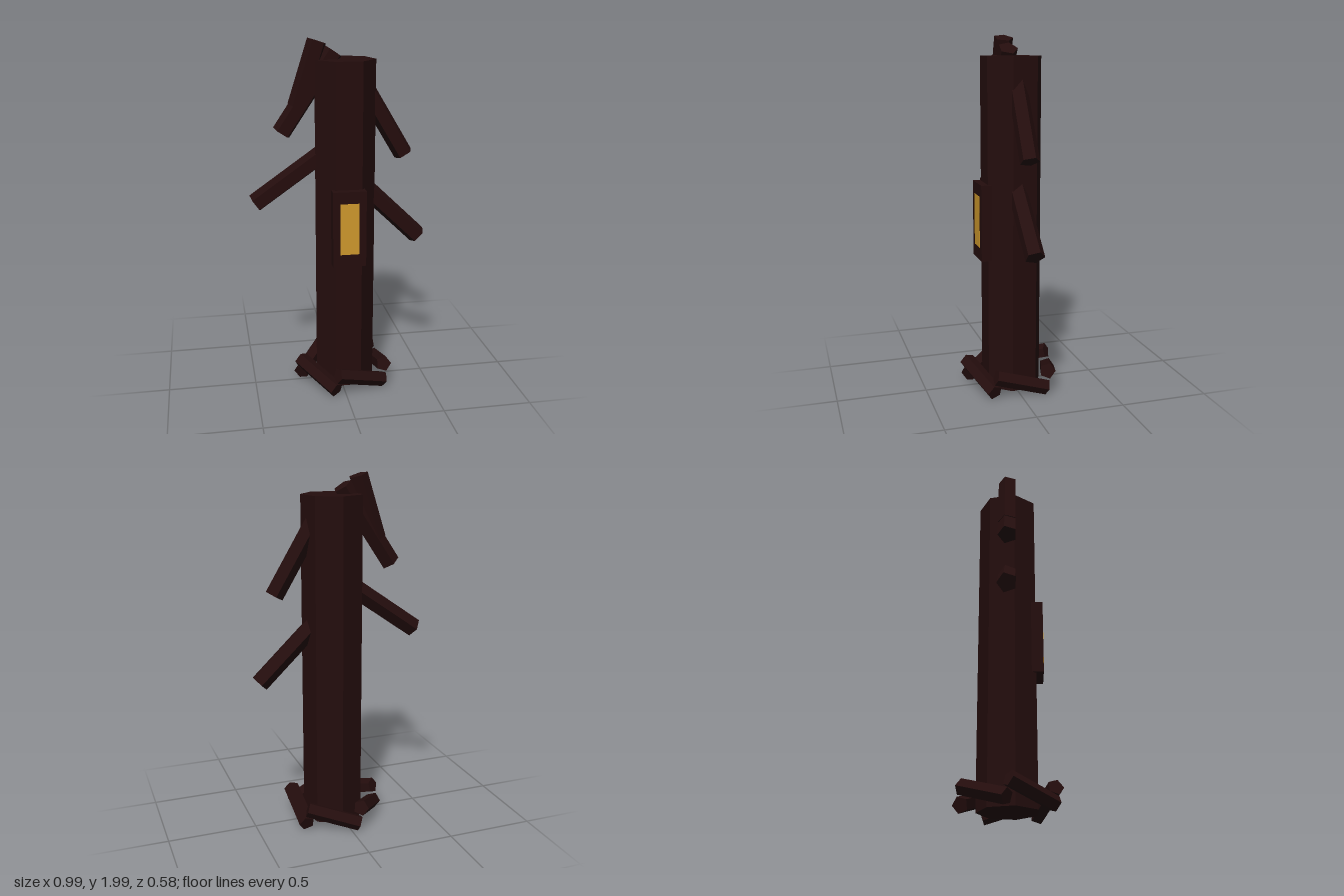
import * as THREE from 'three';

export function createModel() {
  const model = new THREE.Group();
  model.name = 'deadTree';

  const bark = new THREE.MeshStandardMaterial({ color: 0x240d0d });
  bark.name = 'dark bark';
  const glow = new THREE.MeshStandardMaterial({ color: 0xcf992d });
  glow.name = 'amber window';

  const add = (parent, name, geometry, material) => {
    const mesh = new THREE.Mesh(geometry, material);
    mesh.name = name;
    parent.add(mesh);
    return mesh;
  };

  // Low-poly log with one corner turned to the given angle about its axis
  const log = (radius, length, sides, turn) => {
    const g = new THREE.CylinderGeometry(radius, radius, length, sides).rotateY(turn).toNonIndexed();
    g.computeVertexNormals();
    return g;
  };

  const centreX = 0.026;

  // Seven-sided trunk
  add(model, 'trunk', log(0.171, 1.86, 7, Math.PI), bark).position.set(centreX, 0.96, 0);

  // Window frame and lit pane on the front
  add(model, 'windowFrame', new THREE.BoxGeometry(0.184, 0.425, 0.1), bark).position.set(0.024, 0.993, 0.145);
  add(model, 'windowPane', new THREE.BoxGeometry(0.105, 0.288, 0.004), glow).position.set(0.024, 0.995, 0.195);

  // Branches as centre lines in the xy plane: inner end, then outer tip
  const branches = [
    ['leftUpperBranch', 0.105, 1.795, 0.363, 1.362],
    ['leftLowerBranch', 0.09, 1.23, 0.455, 0.878],
    ['rightLowerBranch', -0.06, 1.4, -0.47, 1.112],
    ['rightUpperBranch', -0.03, 1.93, -0.317, 1.5],
    ['topTwig', -0.23, 1.64, -0.12, 1.985],
  ];
  for (const [name, x0, y0, x1, y1] of branches) {
    const dx = x1 - x0, dy = y1 - y0;
    const branch = add(model, name, log(0.055, Math.hypot(dx, dy), 5, Math.PI), bark);
    // Keep the log's own up direction so its ridge stays at the back
    const s = Math.sign(dy);
    branch.rotation.z = Math.atan2(-dx * s, dy * s);
    branch.position.set((x0 + x1) / 2, (y0 + y1) / 2, 0);
  }

  // Ring of five tilted roots around the foot
  const roots = new THREE.Group();
  roots.name = 'roots';
  roots.position.set(centreX, 0.1, 0);
  for (let i = 0; i < 5; i++) {
    const arm = new THREE.Group();
    arm.name = 'rootArm';
    arm.rotation.y = -i * Math.PI * 2 / 5;
    const root = add(arm, 'root', log(0.045, 0.31, 5, Math.PI / 2), bark);
    root.position.x = 0.21;
    root.rotation.x = Math.PI / 2 - 0.3;
    roots.add(arm);
  }
  model.add(roots);

  return model;
}
